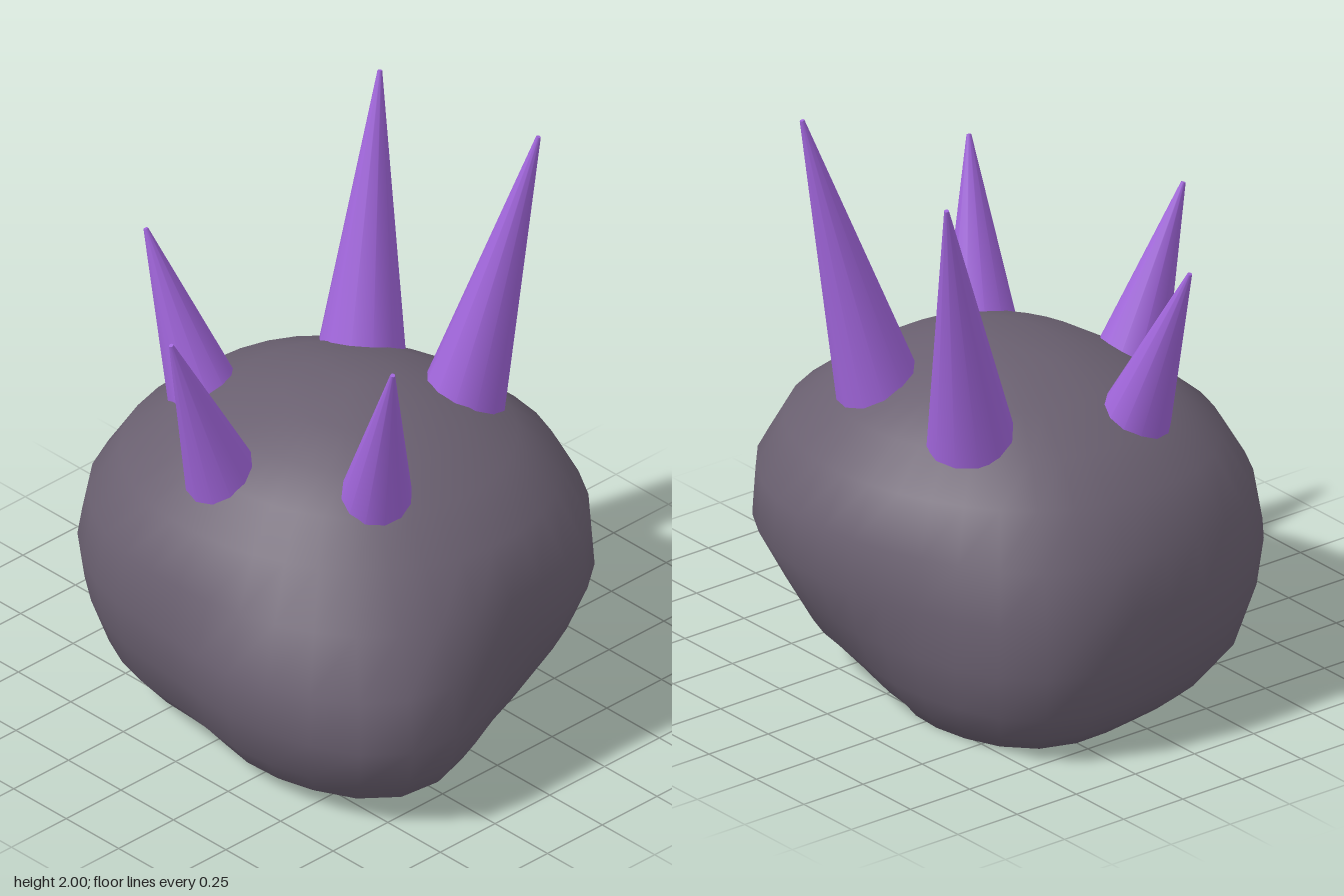
import * as THREE from 'three';

const rockMat = new THREE.MeshStandardMaterial({ color: 0x6a6070 });
rockMat.name = 'dark stone';
const spikeMat = new THREE.MeshStandardMaterial({ color: 0xa065da });
spikeMat.name = 'violet crystal';

// Each level: height, then radii every 30 degrees from +x towards +z
const LEVELS = [
  [0.00, 0.59, 0.74, 0.66, 0.53, 0.58, 0.65, 0.67, 0.75, 0.62, 0.46, 0.43, 0.47],
  [0.06, 0.65, 0.85, 0.74, 0.60, 0.65, 0.72, 0.74, 0.82, 0.67, 0.54, 0.52, 0.55],
  [0.17, 0.73, 0.95, 0.83, 0.70, 0.74, 0.81, 0.83, 0.91, 0.75, 0.63, 0.64, 0.67],
  [0.33, 0.80, 1.01, 0.885, 0.76, 0.80, 0.865, 0.87, 0.93, 0.795, 0.72, 0.73, 0.78],
  [0.50, 0.82, 0.95, 0.885, 0.78, 0.83, 0.885, 0.88, 0.915, 0.80, 0.785, 0.82, 0.85],
  [0.68, 0.82, 0.83, 0.77, 0.74, 0.80, 0.85, 0.845, 0.85, 0.77, 0.77, 0.81, 0.835],
  [0.85, 0.73, 0.69, 0.65, 0.65, 0.70, 0.74, 0.74, 0.72, 0.675, 0.68, 0.72, 0.74],
  [0.97, 0.58, 0.56, 0.52, 0.51, 0.55, 0.58, 0.59, 0.58, 0.54, 0.55, 0.58, 0.59],
  [1.06, 0.43, 0.41, 0.38, 0.36, 0.37, 0.39, 0.40, 0.40, 0.39, 0.40, 0.42, 0.43],
  [1.12, 0.26, 0.24, 0.20, 0.18, 0.18, 0.19, 0.19, 0.21, 0.22, 0.23, 0.24, 0.25],
];
const SIDES = 36;

// Smooth periodic interpolation of the twelve radii
function radius(level, t) {
  const i = Math.floor(t * 12), f = t * 12 - i;
  const r = (k) => level[1 + ((i + k + 12) % 12)];
  const [a, b, c, d] = [r(-1), r(0), r(1), r(2)];
  return b + 0.5 * f * (c - a + f * (2 * a - 5 * b + 4 * c - d + f * (3 * (b - c) + d - a)));
}

// Boulder: rings joined from the flat base to the crown
function rockGeometry() {
  const pos = [], index = [];
  for (const level of LEVELS) {
    for (let j = 0; j < SIDES; j++) {
      const t = j / SIDES, a = t * Math.PI * 2, r = radius(level, t);
      pos.push(Math.cos(a) * r, level[0], Math.sin(a) * r);
    }
  }
  const last = (LEVELS.length - 1) * SIDES;
  const bottom = pos.length / 3, top = bottom + 1;
  pos.push(0, 0, 0, 0.02, 1.147, -0.04);
  for (let j = 0; j < SIDES; j++) {
    const k = (j + 1) % SIDES;
    for (let o = 0; o < last; o += SIDES) {
      index.push(o + j, o + SIDES + j, o + k, o + k, o + SIDES + j, o + SIDES + k);
    }
    index.push(bottom, j, k, top, last + k, last + j);
  }
  const geo = new THREE.BufferGeometry();
  geo.setAttribute('position', new THREE.Float32BufferAttribute(pos, 3));
  geo.setIndex(index);
  geo.computeVertexNormals();
  return geo;
}

// Spike: slightly blunt cone from a root sunk in the rock to its tip
function spike(name, root, tip, r) {
  const a = new THREE.Vector3(...root), b = new THREE.Vector3(...tip);
  const dir = b.clone().sub(a).normalize();
  const sunk = 0.1, full = a.distanceTo(b);
  a.addScaledVector(dir, -sunk);
  const length = full + sunk;
  const geo = new THREE.CylinderGeometry(0.008, r * length / full, length, 12);
  const mesh = new THREE.Mesh(geo, spikeMat);
  mesh.name = name;
  mesh.position.copy(a).add(b).multiplyScalar(0.5);
  mesh.quaternion.setFromUnitVectors(new THREE.Vector3(0, 1, 0), dir);
  return mesh;
}

export function createModel() {
  const group = new THREE.Group();
  group.name = 'spikedBoulder';
  const rock = new THREE.Mesh(rockGeometry(), rockMat);
  rock.name = 'boulder';
  group.add(
    rock,
    spike('frontSpike', [-0.08, 0.99, 0.475], [-0.1, 1.555, 0.675], 0.12),
    spike('rightSpike', [-0.48, 1.0, 0.175], [-0.67, 1.555, 0.245], 0.118),
    spike('leftSpike', [0.41, 1.01, 0.225], [0.575, 1.59, 0.31], 0.118),
    spike('backRightSpike', [-0.29, 1.08, -0.385], [-0.41, 1.93, -0.575], 0.135),
    spike('backLeftSpike', [0.2, 1.08, -0.395], [0.32, 2.0, -0.6], 0.135),
  );
  return group;
}
